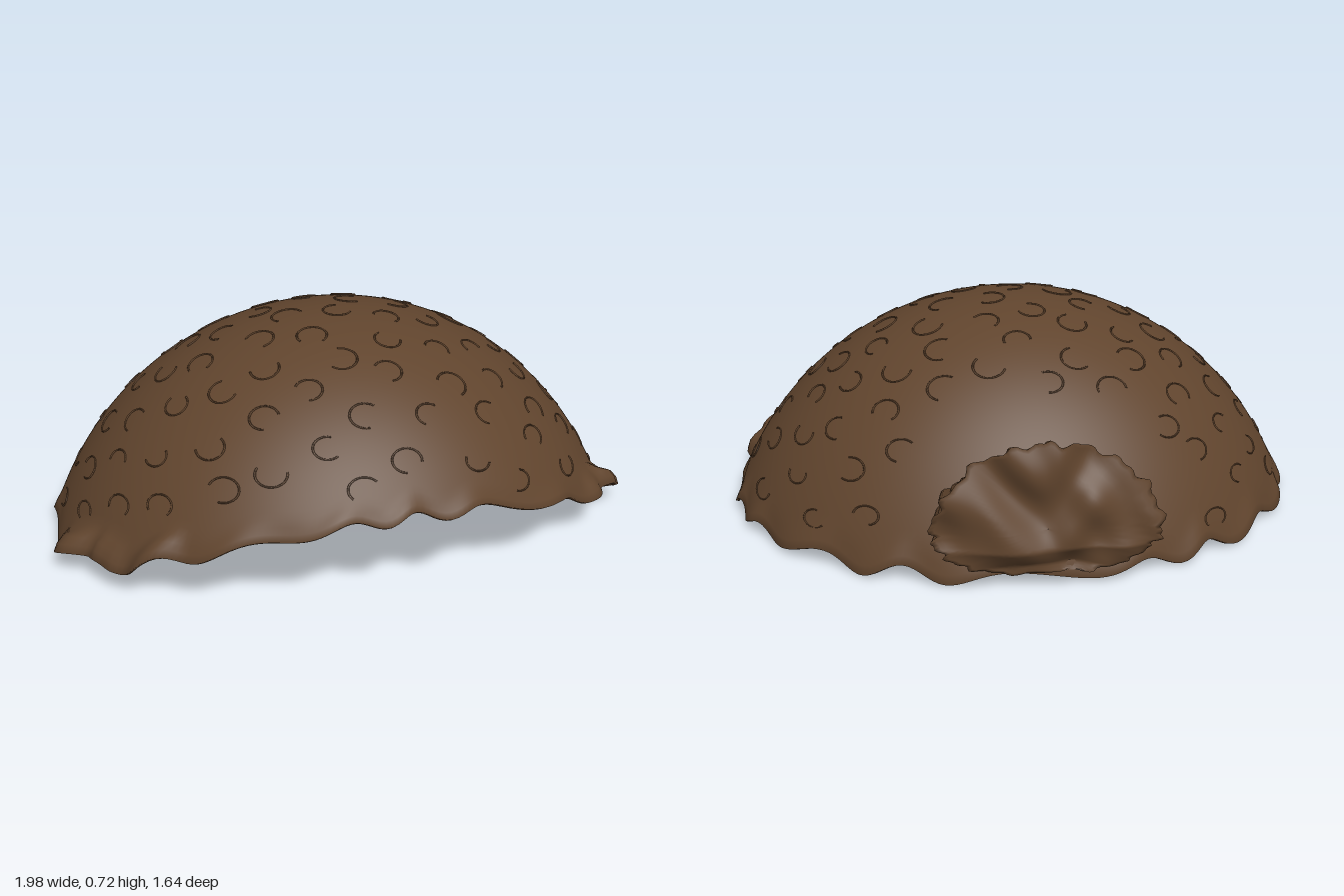
import * as THREE from 'three';
import { mergeGeometries } from 'three/addons/utils/BufferGeometryUtils.js';

const RX = 1.04, RY = 1.06, FRONT = 0.95, BACK = 0.89, CX = 0.012, CY = -0.34, CZ = 0.06, WALL = 0.012;
const { sin, cos, sqrt, max, min, PI } = Math;
const smooth = THREE.MathUtils.smoothstep;

// point on the dome: t from the crown, a around from the front
function dome(t, a, grow = 0) {
  const depth = cos(a) > 0 ? FRONT : BACK;
  return new THREE.Vector3(CX + (RX + grow) * sin(t) * sin(a), CY + (RY + grow) * cos(t), CZ + (depth + grow) * sin(t) * cos(a));
}
// depth of the dome's back at x, y
function backZ(x, y) {
  return CZ - BACK * sqrt(max(0.02, 1 - ((x - CX) / RX) ** 2 - ((y - CY) / RY) ** 2));
}
const phase = (a) => 19 * a + 1.1 * sin(3 * a + 0.5) + 0.8 * sin(7 * a);
const wave = (a) => sin(phase(a)) * (0.8 + 0.2 * sin(5 * a + 1));

// polar angle at which the dome meets its rising, rippled rim
function rimAngle(a) {
  let lo = 0.5, hi = 1.5;
  for (let i = 0; i < 24; i++) {
    const t = (lo + hi) / 2, p = dome(t, a);
    const rimY = 0.034 + 0.7 * max(0, p.z - 0.2) ** 2 + 0.024 * wave(a);
    if (p.y > rimY) lo = t; else hi = t;
  }
  return lo;
}

// grid wrapped around u, rows along v
function loft(nu, nv, point) {
  const pos = [], idx = [];
  for (let j = 0; j <= nv; j++) for (let i = 0; i < nu; i++) pos.push(...point(i / nu, j, i).toArray());
  for (let j = 0; j < nv; j++) for (let i = 0; i < nu; i++) {
    const k = (i + 1) % nu, a = j * nu + i, b = j * nu + k, c = a + nu, d = b + nu;
    idx.push(a, c, b, b, c, d);
  }
  const g = new THREE.BufferGeometry();
  g.setAttribute('position', new THREE.Float32BufferAttribute(pos, 3));
  g.setIndex(idx);
  g.computeVertexNormals();
  return g;
}

// ragged flaps on the rim: [angle, reach, half width]
const FLAPS = [[-1.31, 0.05, 0.09], [-1.12, 0.025, 0.07], [-0.9, 0.025, 0.08], [1.17, 0.07, 0.09], [1.0, 0.02, 0.07]];
function flapReach(a) {
  const b = a > PI ? a - 2 * PI : a;
  let reach = 0;
  for (const [at, size, width] of FLAPS) reach += size * Math.exp(-(((b - at) / width) ** 4));
  return reach * (1 + 0.12 * sin(47 * b));
}

// outer wall down to the rim, then back up the inside
function shellGeometry() {
  const nu = 300, rows = 44, rims = [];
  for (let i = 0; i < nu; i++) rims.push(rimAngle(i / nu * 2 * PI));
  return loft(nu, rows * 2 + 1, (u, j, i) => {
    const inside = j > rows, s = max(0.0005, (inside ? rows * 2 + 1 - j : j) / rows);
    const a = u * 2 * PI;
    const ripple = smooth(s, 0.92, 1) * (0.002 + 0.008 * sin(phase(a) + 1.4));
    const flap = smooth(s, 0.91, 0.97) * flapReach(a);
    return dome(rims[i] * s, a, ripple + flap - (inside ? WALL : 0));
  });
}

// lumpy relief used on the broken areas
const lumps = (x, y) => 0.5 * sin(17 * x + 2.2 * sin(11 * y)) + 0.5 * sin(23 * y + 2.5 * sin(13 * x + 1)) + 0.15 * sin(43 * x - 31 * y);

// arched outline of the broken stem, with a flatter foot
function stemOutline(a, r) {
  const jag = 1 + r * (0.025 * sin(17 * a) + 0.02 * sin(31 * a + 1));
  const c = cos(a), s = sin(a);
  const y = 0.19 + (s > 0 ? 0.26 : 0.14) * s * r * jag;
  return [0.01 + 0.345 * Math.sign(c) * Math.abs(c) ** (s > 0 ? 1.15 : 0.7) * r * jag, y];
}

// lumpy stem face, followed by a grooved wall narrowing to the dome
function stemGeometry() {
  const face = 20, wall = 6;
  return loft(140, face + wall, (u, j, i) => {
    const a = u * 2 * PI, r = max(0.001, min(1, j / face));
    let [x, y] = stemOutline(a, r);
    const plane = -0.795 + 0.2 * max(0, y - 0.13) + 0.5 * max(0, 0.13 - y) + 0.1 * x * x;
    let z = min(backZ(x, y) - 0.012, plane) + 0.022 * lumps(x, y);
    if (j > face) {
      const k = (j - face) / wall, groove = 1 - 0.015 * (i % 3);
      x *= groove * (1 - 0.06 * k);
      y = 0.19 + (y - 0.19) * groove * (1 - (sin(a) > 0 ? 0.3 : 0.1) * k);
      z += (backZ(x, y) + 0.01 - z) * k;
    }
    return new THREE.Vector3(x, y, z);
  });
}

// lumps on the inner wall behind the stem
function innerGeometry() {
  return loft(90, 18, (u, j) => {
    const r = max(0.001, j / 18), [x0, y0] = stemOutline(u * 2 * PI, r);
    const x = x0 * 1.15, y = 0.19 + (y0 - 0.19) * 0.8;
    const z = backZ(x, y) + 0.01 + (1 - r ** 3) * (0.045 + 0.035 * lumps(x + 0.4, y));
    return new THREE.Vector3(x, y, z);
  });
}

// fine broken ring ridges over both sides of the wall, flatter where the wall is steep
function ringGeometry() {
  let seed = 7;
  const rnd = () => (seed = (seed * 16807) % 2147483647) / 2147483647;
  const arcs = [], count = 140;
  for (let n = 0; n < count; n++) {
    const t = Math.acos(1 - 0.64 * (n + 0.5) / count) + (rnd() - 0.5) * 0.04;
    const a = (n * 2.39996 + (rnd() - 0.5) * 0.06) % (2 * PI);
    const p = dome(t, a);
    const radius = 0.043 + 0.01 * rnd(), start = rnd() * 2 * PI, sweep = 3.2 + 1.6 * rnd();
    const onStem = p.z < 0 && Math.abs(p.x) < 0.4 && p.y < 0.46;
    if (t > rimAngle(a) - 0.07 || onStem) continue;
    const depth = p.z > CZ ? FRONT : BACK;
    const normal = new THREE.Vector3((p.x - CX) / RX ** 2, (p.y - CY) / RY ** 2, (p.z - CZ) / depth ** 2).normalize();
    const across = new THREE.Vector3(normal.z, 0, -normal.x).normalize();
    const along = new THREE.Vector3().crossVectors(normal, across);
    for (const offset of [0, -WALL]) {
      const frame = new THREE.Matrix4().makeBasis(across, along.clone().multiplyScalar(0.3 + 0.7 * cos(t)), normal);
      frame.setPosition(p.clone().addScaledVector(normal, offset));
      arcs.push(new THREE.TorusGeometry(radius, 0.0035, 4, 18, sweep).rotateZ(start).applyMatrix4(frame));
    }
  }
  return mergeGeometries(arcs);
}

export function createModel() {
  const model = new THREE.Group();
  model.name = 'domedShell';
  const brown = new THREE.MeshStandardMaterial({ color: 0x60442d, side: THREE.DoubleSide });
  brown.name = 'husk brown';
  const add = (name, geometry) => {
    const mesh = new THREE.Mesh(geometry, brown);
    mesh.name = name;
    model.add(mesh);
  };

  add('shell', shellGeometry());
  add('brokenStem', stemGeometry());
  add('innerStemLumps', innerGeometry());
  add('ringRidges', ringGeometry());
  return model;
}
